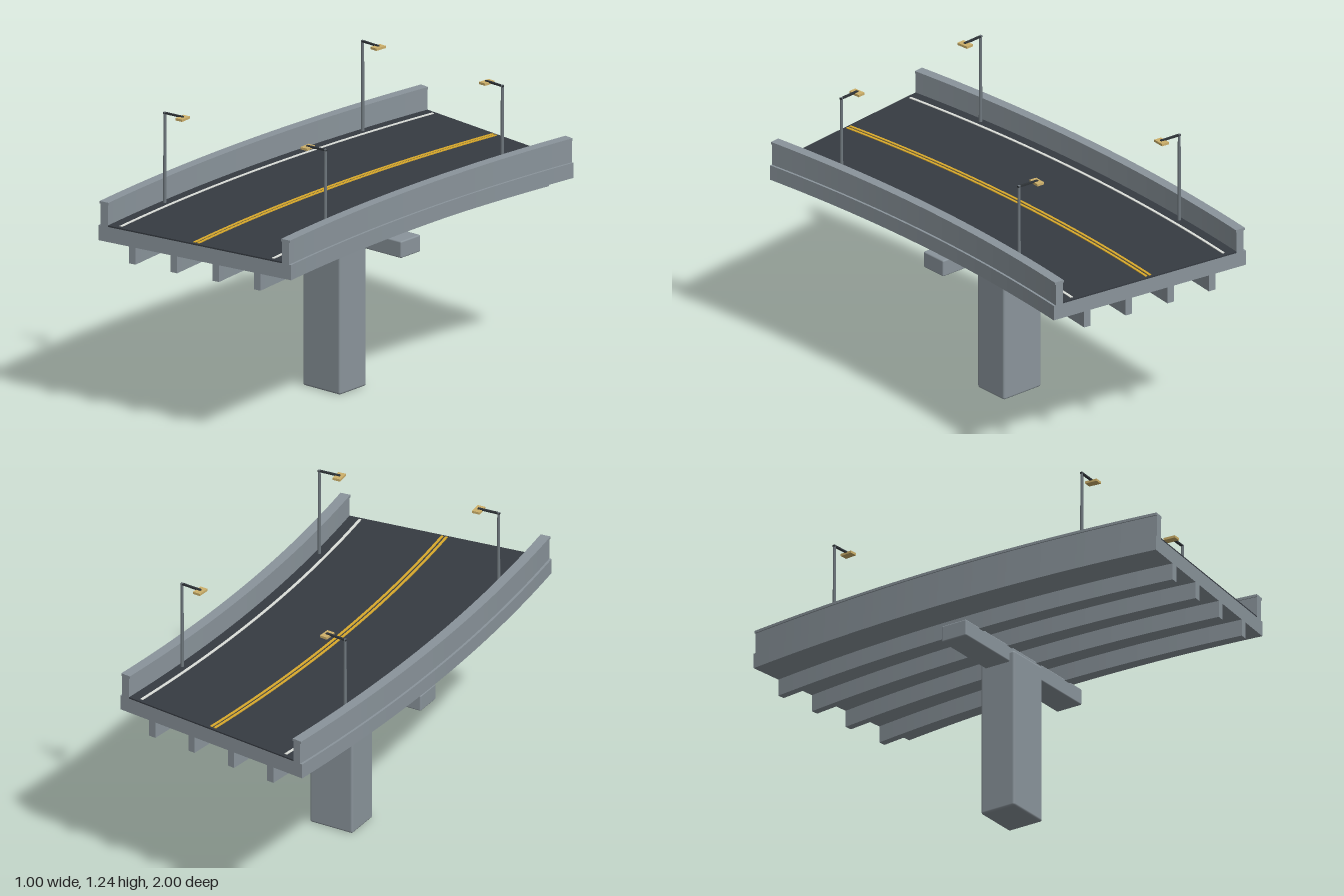
import * as THREE from 'three';
import { RoundedBoxGeometry } from 'three/addons/geometries/RoundedBoxGeometry.js';

const CX = 7.2;        // centre of the road curve on x
const R = 7.23;        // centreline radius
const HALF = 0.13;     // half of the swept angle

const mat = (name, color) => {
  const m = new THREE.MeshStandardMaterial({ color });
  m.name = name;
  return m;
};

// Curved slab between two offsets from the centreline (positive = left, +x)
function arcSlab(from, to, y0, y1, half = HALF) {
  const s = new THREE.Shape();
  s.absarc(CX, 0, R - from, Math.PI - half, Math.PI + half, false);
  s.absarc(CX, 0, R - to, Math.PI + half, Math.PI - half, true);
  const g = new THREE.ExtrudeGeometry(s, { depth: y1 - y0, bevelEnabled: false, curveSegments: 24 });
  g.rotateX(Math.PI / 2);
  g.translate(0, y1, 0);
  return g;
}

export function createModel() {
  const root = new THREE.Group();
  root.name = 'curvedBridge';

  const concrete = mat('concrete', 0x8a949b);
  const asphalt = mat('asphalt', 0x363b42);
  const white = mat('whitePaint', 0xdcdfda);
  const yellow = mat('yellowPaint', 0xd9a92b);
  const steel = mat('poleSteel', 0x70797f);
  const dark = mat('darkMetal', 0x2f3438);
  const lampMat = mat('lampHead', 0xcdb06a);

  const add = (name, geo, material, parent = root) => {
    const m = new THREE.Mesh(geo, material);
    m.name = name;
    parent.add(m);
    return m;
  };

  // Deck and road surface
  add('deck', arcSlab(-0.47, 0.47, 0.785, 0.85), concrete);
  add('roadSurface', arcSlab(-0.425, 0.425, 0.85, 0.856), asphalt);

  // Side barriers with a slim coping
  for (const [side, s] of [['right', -1], ['left', 1]]) {
    const span = (a, b) => (s > 0 ? [a, b] : [-b, -a]);
    add(side + 'Barrier', arcSlab(...span(0.425, 0.46), 0.85, 0.945), concrete);
    add(side + 'BarrierCoping', arcSlab(...span(0.421, 0.465), 0.943, 0.954), concrete);
    add(side + 'EdgeLine', arcSlab(...span(0.366, 0.378), 0.855, 0.859, 0.1278), white);
    add(side + 'CentreLine', arcSlab(...span(0.004, 0.015), 0.855, 0.859, 0.1285), yellow);
  }

  // Girders and their bearings over the pier
  for (const off of [-0.305, -0.102, 0.102, 0.305]) {
    add('girder', arcSlab(off - 0.016, off + 0.016, 0.713, 0.786), concrete);
    add('bearing', new THREE.BoxGeometry(0.05, 0.02, 0.05), dark)
      .position.set(CX - R + off, 0.729, 0);
  }

  // Pier with crosshead
  add('crosshead', new RoundedBoxGeometry(0.824, 0.072, 0.122, 2, 0.006), concrete)
    .position.set(-0.03, 0.685, 0);
  add('pierColumn', new RoundedBoxGeometry(0.203, 0.695, 0.166, 2, 0.01), concrete)
    .position.set(-0.03, 0.3475, 0);

  // Street lamps, arms pointing over the road
  for (const s of [-1, 1]) {
    for (const a of [-0.0805, 0.0805]) {
      const r = R - s * 0.406;
      const lamp = new THREE.Group();
      lamp.name = 'streetLamp';
      lamp.position.set(CX - r * Math.cos(a), 0.85, r * Math.sin(a));
      lamp.rotation.y = a + (s > 0 ? Math.PI : 0);
      root.add(lamp);
      add('lampPole', new THREE.CylinderGeometry(0.006, 0.0075, 0.394, 8), steel, lamp)
        .position.y = 0.197;
      add('lampArm', new THREE.BoxGeometry(0.1, 0.007, 0.01), dark, lamp)
        .position.set(0.044, 0.39, 0);
      add('lampHead', new THREE.BoxGeometry(0.034, 0.01, 0.054), lampMat, lamp)
        .position.set(0.09, 0.384, 0);
    }
  }
  return root;
}
